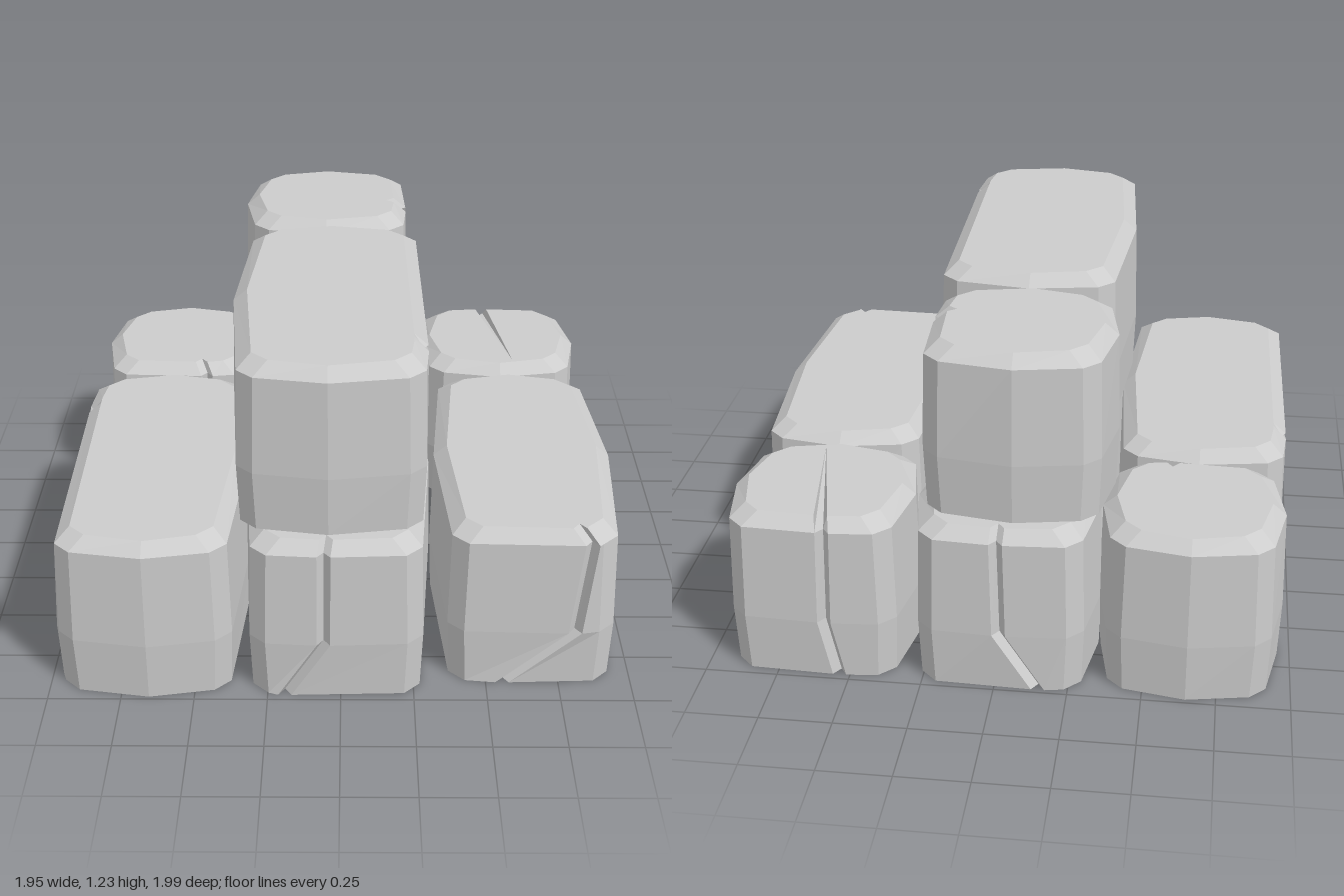
import * as THREE from 'three';

const material = new THREE.MeshStandardMaterial({ color: 0xcccccc, flatShading: true, side: THREE.DoubleSide });
const SIDES = ['back', 'right', 'front', 'left'];
const CHAMFER = 0.055;

// V-shaped notch along a -> b at fraction t; its deepest point can slide to another fraction.
function notch(a, b, t, depth, deepest = t) {
  const dx = b[0] - a[0], dz = b[1] - a[1], len = Math.hypot(dx, dz);
  const place = (f, inward) => [a[0] + dx * f - dz / len * inward, a[1] + dz * f + dx / len * inward];
  const half = 0.023 / len, bulge = 0.012;
  return [place(t - half, -bulge), place(deepest, depth - bulge), place(t + half, -bulge)];
}

// Outline of a stone at one level: chamfered corners, bulging sides and one cracked side.
function outline({ x: [x0, x1], z: [z0, z1], crack }, level, inset) {
  const swell = side => inset + (side === crack.side ? 0.02 : 0.04);
  const l = x0 + swell('left'), r = x1 - swell('right');
  const b = z0 + swell('back'), f = z1 - swell('front');
  const c = CHAMFER;
  const ends = {
    back: [[l + c, b], [r - c, b]],
    right: [[r, b + c], [r, f - c]],
    front: [[r - c, f], [l + c, f]],
    left: [[l, f - c], [l, b + c]],
  };
  const middles = {
    back: [(x0 + x1) / 2, z0 + inset],
    right: [x1 - inset, (z0 + z1) / 2],
    front: [(x0 + x1) / 2, z1 - inset],
    left: [x0 + inset, (z0 + z1) / 2],
  };
  return SIDES.flatMap(side => {
    const [start, end] = ends[side];
    if (side !== crack.side) return [start, middles[side], end];
    const depth = crack.depth ?? [0.035, 0.035, 0.03, 0.03];
    const deepest = level === 3 ? crack.tip : undefined;
    return [start, ...notch(start, end, crack.t[level], depth[level], deepest), end];
  });
}

// Loft base, lower bend, shoulder and bevelled top into a stone with an open base.
function makeStone(stone) {
  const { name, y, height } = stone;
  const levels = [[0, 0.008], [0.21, 0], [height - 0.04, 0.008], [height, 0.055]];
  const rings = levels.map(([h, inset], k) => outline(stone, k, inset).map(([x, z]) => [x, y + h, z]));

  const pos = [];
  const n = rings[0].length;
  for (let k = 0; k < 3; k++) {
    for (let i = 0; i < n; i++) {
      const j = (i + 1) % n, lo = rings[k], hi = rings[k + 1];
      pos.push(...lo[j], ...lo[i], ...hi[i], ...lo[j], ...hi[i], ...hi[j]);
    }
  }
  // Top cap, wound to face upward
  const top = rings[3];
  const flat = top.map(p => new THREE.Vector2(p[0], p[2]));
  for (const [i, j, k] of THREE.ShapeUtils.triangulateShape(flat, [])) {
    const turn = flat[j].clone().sub(flat[i]).cross(flat[k].clone().sub(flat[i]));
    pos.push(...top[i], ...(turn < 0 ? top[j] : top[k]), ...(turn < 0 ? top[k] : top[j]));
  }
  const geometry = new THREE.BufferGeometry();
  geometry.setAttribute('position', new THREE.Float32BufferAttribute(pos, 3));
  geometry.computeVertexNormals();
  const mesh = new THREE.Mesh(geometry, material);
  mesh.name = name;
  return mesh;
}

// Long crack that climbs a whole side and ends at the shoulder
const longCrack = { t: [0.05, 0.05, 0.85, 0.88], depth: [0.035, 0.035, 0.015, 0] };
const lower = { y: 0, height: 0.595 };

// Crack t: position along the side at each level, base to top.
const stones = [
  { name: 'backRowStoneRight', ...lower, x: [-0.965, -0.33], z: [-0.99, -0.345],
    crack: { side: 'front', t: [0.45, 0.3, 0.25, 0.25] } },
  { name: 'backRowStoneCentre', ...lower, x: [-0.34, 0.305], z: [-1, -0.34],
    crack: { side: 'back', t: [0.2, 0.5, 0.52, 0.52] } },
  { name: 'backRowStoneLeft', ...lower, x: [0.3, 0.95], z: [-0.99, -0.35],
    crack: { side: 'back', t: [0.3, 0.4, 0.38, 0.38], depth: [0.035, 0.035, 0.03, 0.5], tip: 0.65 } },
  { name: 'longStoneRight', ...lower, x: [-0.98, -0.33], z: [-0.345, 0.995],
    crack: { side: 'left', ...longCrack } },
  { name: 'longStoneCentre', ...lower, x: [-0.35, 0.32], z: [-0.33, 0.99],
    crack: { side: 'front', t: [0.88, 0.59, 0.59, 0.59] } },
  { name: 'longStoneLeft', ...lower, x: [0.325, 0.975], z: [-0.355, 0.915],
    crack: { side: 'front', t: [0.71, 0.18, 0.08, 0.08] } },
  { name: 'upperLongStone', y: 0.64, height: 0.59, x: [-0.38, 0.3], z: [-0.32, 0.98],
    crack: { side: 'right', ...longCrack } },
  { name: 'upperBackStone', y: 0.63, height: 0.585, x: [-0.385, 0.26], z: [-0.97, -0.315],
    crack: { side: 'right', t: [0.17, 0.17, 0.63, 0.67] } },
];

export function createModel() {
  const group = new THREE.Group();
  group.name = 'stackedStones';
  for (const stone of stones) group.add(makeStone(stone));
  return group;
}
